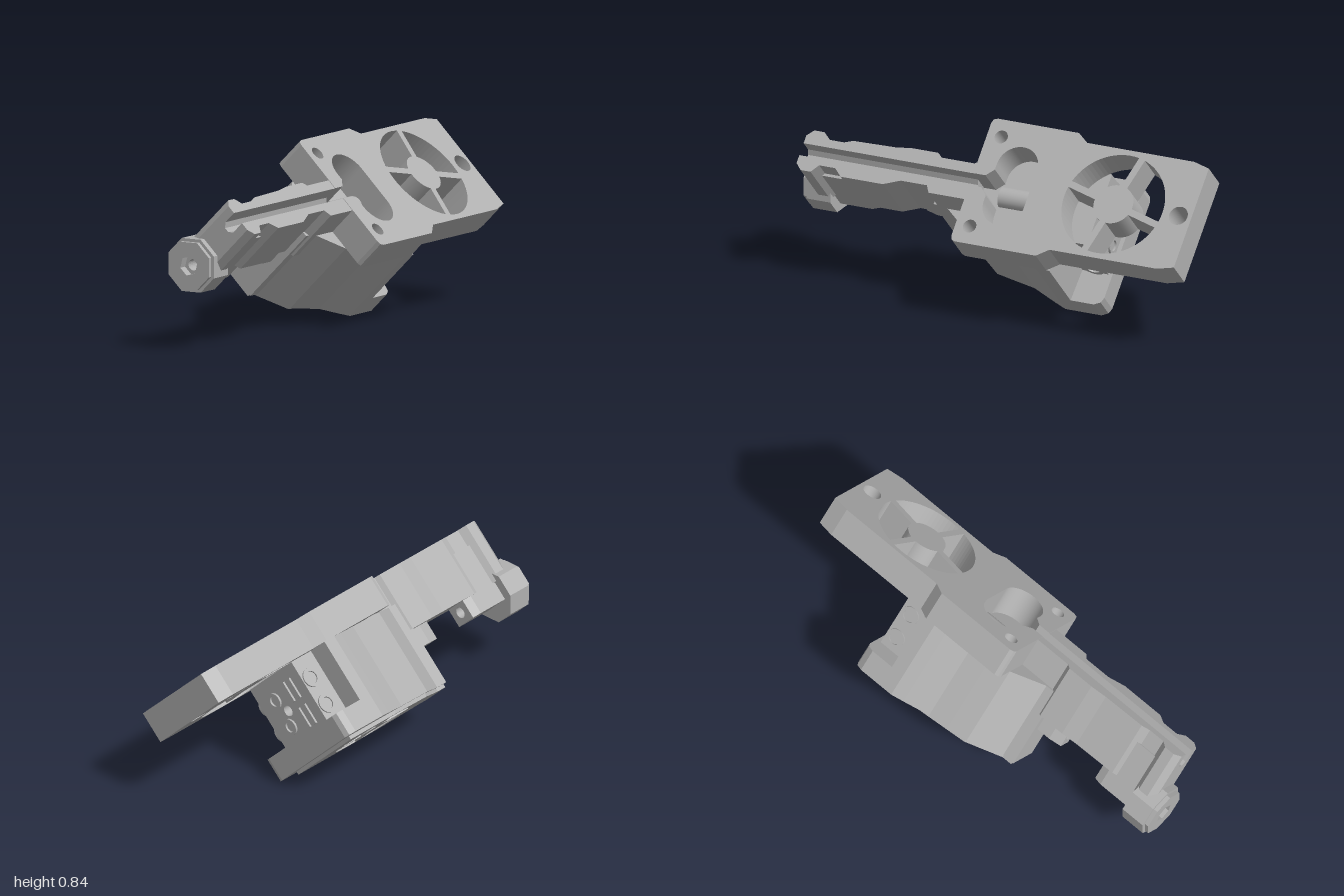
import * as THREE from 'three';

const grey = new THREE.MeshStandardMaterial({ color: 0xb0b0b0 });
grey.name = 'machined grey';

const FAN_Z = -0.61, VENT_Z = -0.12, BORE_B = -0.04;

// Local frame before the 45 degree tilt: x across, y out of the cover plate, z forward.
function add(parent, name, geo) {
  const m = new THREE.Mesh(geo, grey);
  m.name = name;
  parent.add(m);
  return m;
}
function box(parent, name, x0, x1, y0, y1, z0, z1) {
  const m = add(parent, name, new THREE.BoxGeometry(x1 - x0, y1 - y0, z1 - z0));
  m.position.set((x0 + x1) / 2, (y0 + y1) / 2, (z0 + z1) / 2);
  return m;
}
const polygon = (pts) => new THREE.Shape(pts.map(([x, y]) => new THREE.Vector2(x, y)));
function circle(shape, x, y, r) {
  shape.holes.push(new THREE.Path().absarc(x, y, r, 0, Math.PI * 2, true));
  return shape;
}
// Outline drawn in (x, -z), thickened along y
function slab(parent, name, shape, y0, y1) {
  const g = new THREE.ExtrudeGeometry(shape, { depth: y1 - y0, bevelEnabled: false, curveSegments: 40 });
  g.rotateX(-Math.PI / 2).translate(0, y0, 0);
  return add(parent, name, g);
}
// Cross-section in (x, y) swept through stations [z, width on +x, width on -x]
function sweep(parent, name, shape, stations) {
  const steps = stations.length - 1;
  const g = new THREE.ExtrudeGeometry(shape, { depth: 1, steps, bevelEnabled: false, curveSegments: 20 });
  const p = g.attributes.position;
  for (let i = 0; i < p.count; i++) {
    const [z, plus, minus = plus] = stations[Math.round(p.getZ(i) * steps)];
    const x = p.getX(i);
    if (Math.abs(x) > 0.09) p.setX(i, x > 0 ? plus : -minus);
    p.setZ(i, z);
  }
  g.computeVertexNormals();
  return add(parent, name, g);
}
const rect = (y0, y1) => polygon([[-0.1, y0], [0.1, y0], [0.1, y1], [-0.1, y1]]);
const grooved = (y0, y1, floor) => polygon([[-0.1, y0], [0.1, y0], [0.1, y1], [0.03, y1],
  [0.03, floor + 0.02], [0.012, floor], [-0.012, floor], [-0.03, floor + 0.02], [-0.03, y1], [-0.1, y1]]);
const bored = (y0, y1) => circle(rect(y0, y1), 0, BORE_B, 0.026);
// Symmetrical outline from [z, halfWidth] stations
const mirrored = (st) => polygon([...st.map(([z, w]) => [w, -z]),
  ...st.slice().reverse().map(([z, w]) => [-w, -z])].reverse());
// Hub and four slanted spokes of a round grille
function grille(parent, name, z, r, hubR, y0, y1) {
  const g = new THREE.Group();
  g.name = name;
  const h = y1 - y0;
  add(g, 'hub', new THREE.CylinderGeometry(hubR, hubR, h, 40));
  for (let i = 0; i < 4; i++) {
    const arm = new THREE.Group();
    const len = r - hubR + 0.03;
    const s = add(arm, 'spoke', new THREE.BoxGeometry(len, h, 0.032));
    s.position.x = hubR - 0.015 + len / 2;
    arm.rotation.y = -0.25 + i * Math.PI / 2;
    g.add(arm);
  }
  g.position.set(0, (y0 + y1) / 2, z);
  parent.add(g);
}
// Short raised socket ring along z
function socket(parent, r, depth) {
  const s = circle(new THREE.Shape().absarc(0, 0, r, 0, Math.PI * 2), 0, 0, r * 0.65);
  return add(parent, 'socket', new THREE.ExtrudeGeometry(s, { depth, bevelEnabled: false, curveSegments: 20 }));
}

export function createModel() {
  const root = new THREE.Group();
  const t = new THREE.Group();
  t.name = 'toolHead';
  t.rotation.z = -Math.PI / 4;
  t.position.y = 0.42;
  root.add(t);

  // Cover plate with a keyhole notch open to the front
  const plate = new THREE.Shape();
  plate.moveTo(0.03, -0.1);
  [[0.285, -0.1], [0.303, -0.093], [0.31, -0.075], [0.31, 0.33], [0.27, 0.385], [0.27, 0.92], [0.25, 1],
    [-0.25, 1], [-0.27, 0.92], [-0.27, 0.385], [-0.31, 0.33], [-0.31, -0.075], [-0.303, -0.093], [-0.285, -0.1],
    [-0.03, -0.1], [-0.03, -0.04], [-0.065, -0.005], [-0.095, -0.005]].forEach(([x, y]) => plate.lineTo(x, y));
  plate.absarc(-0.095, 0.095, 0.1, -Math.PI / 2, -Math.PI * 1.5, true);
  plate.absarc(0.095, 0.095, 0.1, Math.PI / 2, -Math.PI / 2, true);
  plate.lineTo(0.065, -0.005);
  plate.lineTo(0.03, -0.04);
  circle(plate, 0, -FAN_Z, 0.245);
  circle(plate, 0, 0.935, 0.045);
  for (const x of [-0.225, 0.225]) circle(plate, x, -0.03, 0.032);
  slab(t, 'coverPlate', plate, 0.135, 0.286);
  grille(t, 'fanGrille', FAN_Z, 0.245, 0.095, 0.14, 0.286);
  const rib = add(t, 'recessRib', new THREE.CylinderGeometry(0.05, 0.05, 0.19, 24));
  rib.rotation.x = Math.PI / 2;
  rib.position.set(0, 0.13, -0.095);

  // Tapering body, bored from end to end, its rear cut back above a flat ledge
  const flank = [[-0.28, 0.31], [-0.22, 0.287], [-0.16, 0.262], [-0.1, 0.237], [0, 0.219], [0.1, 0.2],
    [0.25, 0.09], [0.31, 0.09]];
  sweep(t, 'body', bored(-0.17, 0.135), [[-0.48, 0.155, 0.2], [-0.35, 0.155, 0.2], [-0.345, 0.31], ...flank]);

  // Vented base with a raised rim
  const ventHole = (s) => circle(s, 0, -VENT_Z, 0.195);
  slab(t, 'base', ventHole(mirrored([[-0.5, 0.27], [-0.49, 0.295], [-0.46, 0.31], ...flank])), -0.283, -0.17);
  slab(t, 'baseRim', ventHole(mirrored([[-0.44, 0.225], [-0.14, 0.225], [0.09, 0.19], [0.25, 0.078],
    [0.3, 0.078]])), -0.3, -0.283);
  grille(t, 'ventGrille', VENT_Z, 0.195, 0.075, -0.3, -0.17);

  // Socket pairs on both sides and on the back, with two slotted connectors beside them
  for (const y of [-0.105, 0.03]) {
    const right = socket(t, 0.05, 0.02);
    right.rotation.y = Math.PI / 2;
    right.position.set(0.15, y, -0.43);
    const left = socket(t, 0.045, 0.012);
    left.rotation.y = -Math.PI / 2;
    left.position.set(-0.195, y, -0.43);
    socket(t, 0.038, 0.012).position.set(0.04, y, -0.49);
    for (const x of [-0.125, -0.075]) {
      box(t, 'connectorFrame', x - 0.01, x + 0.01, y - 0.05, y + 0.05, -0.49, -0.475);
    }
  }

  // Grooved arm running forward, its bumps staggered from side to side
  sweep(t, 'arm', grooved(0, 0.284, 0.2), [[0.1, 0.1, 0.078], [0.28, 0.1, 0.078], [0.3, 0.066, 0.098],
    [0.43, 0.066, 0.098], [0.51, 0.098, 0.088], [0.72, 0.098, 0.083], [0.76, 0.062, 0.068], [0.84, 0.062, 0.068],
    [0.87, 0.1], [0.92, 0.1], [0.95, 0.07]]);
  sweep(t, 'tooth', bored(-0.09, 0.01), [[0.31, 0.05], [0.38, 0.05], [0.44, 0.035]]);
  sweep(t, 'frontBlock', bored(-0.09, 0.2), [[0.66, 0.06], [0.7, 0.075], [0.87, 0.075]]);

  // Octagonal nozzle with a hexagonal mouth and a narrower tip
  const ring = (n, r, off) => Array.from({ length: n }, (_, i) => {
    const a = off + i * 2 * Math.PI / n;
    return [r * Math.cos(a), BORE_B + r * Math.sin(a)];
  });
  const layers = [[0.86, 0.96, 0.13, 24, 0.026], [0.96, 0.98, 0.13, 6, 0.046], [0.98, 1, 0.115, 6, 0.046]];
  for (const [z0, z1, r, n, hole] of layers) {
    const s = polygon(ring(8, r, Math.PI / 8));
    s.holes.push(new THREE.Path(ring(n, hole, 0).reverse().map(([x, y]) => new THREE.Vector2(x, y))));
    const m = add(t, 'nozzle', new THREE.ExtrudeGeometry(s, { depth: z1 - z0, bevelEnabled: false }));
    m.position.z = z0;
  }
  return root;
}
